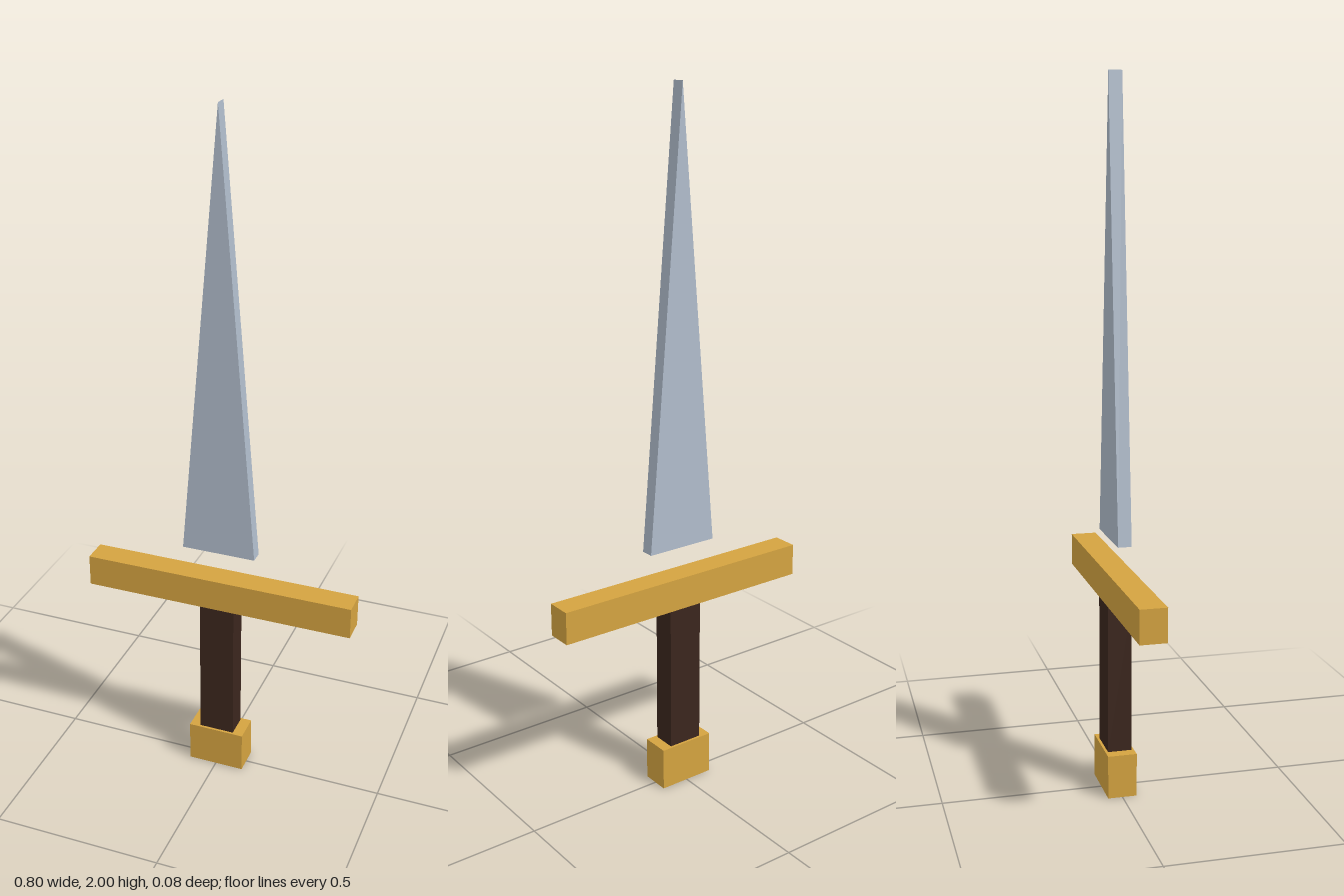
import * as THREE from 'three';

const material = (color) => new THREE.MeshStandardMaterial({ color, flatShading: true });

// Box standing between two heights, centred on x and z
function block(name, width, bottom, top, depth, mat) {
  const mesh = new THREE.Mesh(new THREE.BoxGeometry(width, top - bottom, depth), mat);
  mesh.position.y = (bottom + top) / 2;
  mesh.name = name;
  return mesh;
}

export function createModel() {
  const model = new THREE.Group();
  model.name = 'sword';

  const gold = material(0xd4a340);
  const wood = material(0x3b261d);
  const steel = material(0xb0bccb);

  // Hilt
  model.add(
    block('pommel', 0.168, 0, 0.125, 0.083, gold),
    block('grip', 0.104, 0.125, 0.556, 0.068, wood),
    block('crossguard', 0.8, 0.556, 0.65, 0.075, gold),
  );

  // Blade: a tall triangle of even thickness, floating above the guard
  const outline = new THREE.Shape([
    new THREE.Vector2(-0.108, 0.735),
    new THREE.Vector2(0.108, 0.735),
    new THREE.Vector2(0, 2),
  ]);
  const depth = 0.038;
  const bladeGeometry = new THREE.ExtrudeGeometry(outline, { depth, bevelEnabled: false });
  bladeGeometry.translate(0, 0, -depth / 2);
  const blade = new THREE.Mesh(bladeGeometry, steel);
  blade.name = 'blade';
  model.add(blade);

  return model;
}
